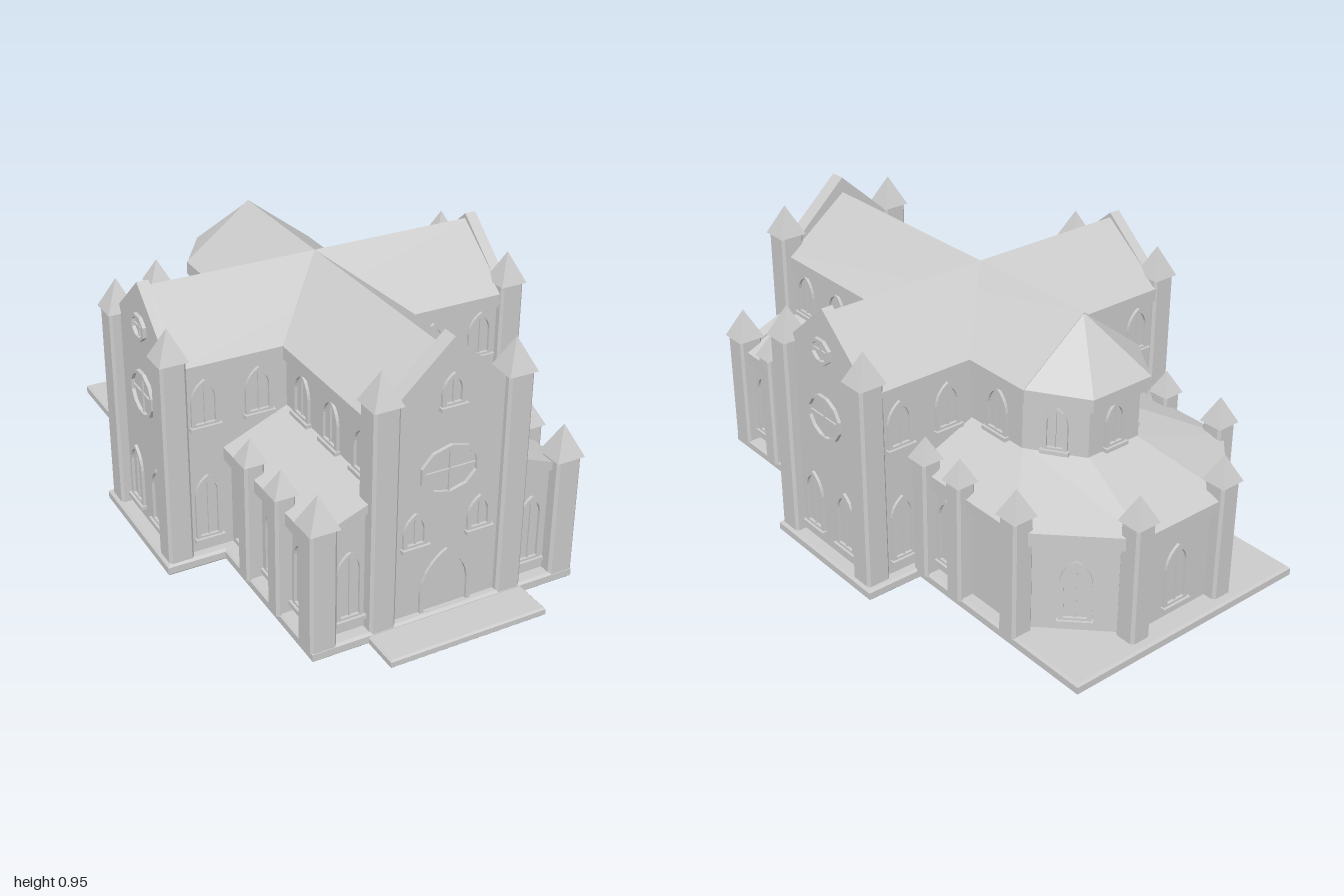
import * as THREE from 'three';

const stone = new THREE.MeshStandardMaterial({ color: 0xcccccc, flatShading: true, side: THREE.DoubleSide });
stone.name = 'stone grey';

export function createModel() {
  const model = new THREE.Group();
  model.name = 'church';

  const add = (name, geo, x = 0, y = 0, z = 0, ry = 0, parent = model) => {
    const m = new THREE.Mesh(geo, stone);
    m.name = name;
    m.position.set(x, y, z);
    m.rotation.y = ry;
    parent.add(m);
    return m;
  };
  const poly = (pts) => new THREE.Shape(pts.map(([x, y]) => new THREE.Vector2(x, y)));
  const extrude = (shape, depth, bevel = 0) => new THREE.ExtrudeGeometry(shape, {
    depth: depth - 2 * bevel, bevelEnabled: bevel > 0, bevelSize: bevel, bevelOffset: -bevel,
    bevelThickness: bevel, bevelSegments: 1, curveSegments: 5,
  }).translate(0, 0, bevel);
  // upright prism over a floor plan of [x, z] points
  const prism = (plan, y0, y1, bevel = 0) =>
    extrude(poly(plan.map(([x, z]) => [x, -z])), y1 - y0, bevel).rotateX(-Math.PI / 2).translate(0, y0, 0);
  const mirrored = (half) => [...half, ...half.map(([x, z]) => [-x, z]).reverse()];
  // sloping roof between an outer eave line and an inner line
  const slope = (outer, yo, inner, yi) => {
    const v = [];
    for (let k = 0; k + 1 < outer.length; k++) {
      const o0 = [outer[k][0], yo, outer[k][1]], o1 = [outer[k + 1][0], yo, outer[k + 1][1]];
      const i0 = [inner[k][0], yi, inner[k][1]], i1 = [inner[k + 1][0], yi, inner[k + 1][1]];
      if (inner[k] !== inner[k + 1]) v.push(...o0, ...i0, ...i1);
      v.push(...o0, ...i1, ...o1);
    }
    const g = new THREE.BufferGeometry();
    g.setAttribute('position', new THREE.Float32BufferAttribute(v, 3));
    g.computeVertexNormals();
    return g;
  };

  // stepped base
  add('base', prism(mirrored([[0.465, 0.87], [0.465, 0.27], [0.665, 0.27], [0.665, -0.25],
    [0.465, -0.25], [0.465, -1]]), 0, 0.04, 0.008));
  add('frontStep', prism(mirrored([[0.275, 1], [0.275, 0.8]]), 0, 0.03, 0.006));

  // nave and transept: walls, roofs and gable ends
  const roofShape = poly([[-0.24, 0.67], [0.24, 0.67], [0.24, 0.715], [0, 0.9], [-0.24, 0.715]]);
  const gable = (half, shoulder, peak) =>
    poly([[-half, 0.03], [half, 0.03], [half, shoulder], [0, peak], [-half, shoulder]]);
  const T = 0.01; // transept centre line in z
  add('naveWalls', prism(mirrored([[0.22, 0.82], [0.22, -0.46], [0.105, -0.635]]), 0.03, 0.68));
  add('naveRoof', extrude(roofShape, 1.3), 0, 0, -0.485);
  add('transeptWalls', new THREE.BoxGeometry(1.2, 0.65, 0.45), 0, 0.355, T);
  add('transeptRoof', extrude(roofShape, 1.2), -0.6, 0, T, Math.PI / 2);
  add('frontGable', extrude(gable(0.2, 0.77, 0.955), 0.055), 0, 0, 0.79);
  for (const s of [-1, 1]) {
    add('transeptGable', extrude(gable(0.2, 0.745, 0.917), 0.04), s * 0.578, 0, T, s * Math.PI / 2);
  }

  // apse roof
  const apseEave = [[-0.24, -0.48], [-0.12, -0.665], [0.12, -0.665], [0.24, -0.48]];
  const apex = [0, -0.48];
  add('apseEave', prism(apseEave, 0.67, 0.715));
  add('apseRoof', slope(apseEave, 0.715, [apex, apex, apex, apex], 0.9));

  // low aisles wrapping round the apse
  const eave = [[-0.445, 0.8], [-0.445, -0.69], [-0.18, -0.955], [0.18, -0.955], [0.445, -0.69], [0.445, 0.8]];
  const ridge = [[-0.21, 0.8], [-0.21, -0.455], [-0.1, -0.63], [0.1, -0.63], [0.21, -0.455], [0.21, 0.8]];
  add('aisleWalls', prism(mirrored([[0.42, 0.8], [0.42, -0.675], [0.17, -0.925]]), 0.03, 0.36));
  add('aisleEave', prism(eave, 0.355, 0.4));
  add('aisleRoof', slope(eave, 0.4, ridge, 0.5));
  for (const s of [-1, 1]) {
    add('aisleFrontWall', extrude(poly([[s * 0.2, 0.03], [s * 0.43, 0.03], [s * 0.43, 0.4], [s * 0.2, 0.49]]), 0.03), 0, 0, 0.795);
    add('aisleCoping', extrude(poly([[s * 0.2, 0.475], [s * 0.43, 0.385], [s * 0.43, 0.415], [s * 0.2, 0.505]]), 0.05), 0, 0, 0.79);
  }

  // corner turrets with chamfered shafts and pyramid caps
  const turret = (x, z, half, top, tip) => {
    const g = new THREE.Group();
    g.name = 'turret';
    g.position.set(x, 0, z);
    model.add(g);
    const c = half - 0.009;
    add('turretShaft', prism([[half, c], [c, half], [-c, half], [-half, c],
      [-half, -c], [-c, -half], [c, -half], [half, -c]], 0.03, top), 0, 0, 0, 0, g);
    const cap = new THREE.ConeGeometry((half + 0.006) * Math.SQRT2, tip - top, 4).rotateY(Math.PI / 4);
    add('turretCap', cap, 0, (top + tip) / 2, 0, 0, g);
  };
  for (const s of [-1, 1]) {
    turret(s * 0.225, 0.825, 0.044, 0.79, 0.895);
    turret(s * 0.425, 0.825, 0.044, 0.445, 0.55);
    for (const z of [0.22, -0.19]) turret(s * 0.612, z, 0.043, 0.745, 0.85);
    for (const z of [0.625, 0.42, -0.26, -0.43]) turret(s * 0.44, z, 0.034, 0.45, 0.528);
    turret(s * 0.43, -0.68, 0.038, 0.45, 0.54);
    turret(s * 0.177, -0.93, 0.038, 0.45, 0.54);
  }

  // pointed windows: raised frame, mullion and sill
  const arch = (w, h, y0 = 0) => {
    const spring = h - w * 0.75, s = new THREE.Shape();
    s.moveTo(-w / 2, y0);
    s.lineTo(w / 2, y0);
    s.lineTo(w / 2, spring);
    s.quadraticCurveTo(w * 0.45, h - w * 0.25, 0, h);
    s.quadraticCurveTo(-w * 0.45, h - w * 0.25, -w / 2, spring);
    return s;
  };
  const pointed = (name, w, h, x, y, z, ry = 0, door = false) => {
    const g = new THREE.Group();
    g.name = name;
    g.position.set(x, y, z);
    g.rotation.y = ry;
    model.add(g);
    const t = 0.014, frame = arch(w, h);
    frame.holes.push(arch(w - 2 * t, h - t, door ? 0.001 : t));
    add('frame', extrude(frame, 0.01), 0, 0, 0, 0, g);
    if (door) return;
    add('mullion', new THREE.BoxGeometry(0.005, h - t, 0.008), 0, h / 2, 0.002, 0, g);
    add('sill', new THREE.BoxGeometry(w + 0.012, 0.013, 0.03), 0, 0, 0.004, 0, g);
  };
  // round windows: faceted ring with a cross
  const rose = (rx, ry, sides, x, y, z, turn = 0) => {
    const ring = (k) => poly(Array.from({ length: sides }, (_, i) => {
      const a = ((i + 0.5) / sides) * Math.PI * 2;
      return [(rx - k) * Math.cos(a), (ry - k) * Math.sin(a)];
    }));
    const g = new THREE.Group(), outer = ring(0);
    g.name = 'roseWindow';
    g.position.set(x, y, z);
    g.rotation.y = turn;
    model.add(g);
    outer.holes.push(ring(0.012));
    add('ring', extrude(outer, 0.012), 0, 0, 0, 0, g);
    add('crossBar', new THREE.BoxGeometry(rx * 1.85, 0.006, 0.008), 0, 0, 0.002, 0, g);
    add('uprightBar', new THREE.BoxGeometry(0.006, ry * 1.85, 0.008), 0, 0, 0.002, 0, g);
  };

  // front openings
  pointed('frontDoor', 0.18, 0.21, 0, 0.04, 0.845, 0, true);
  pointed('gableWindow', 0.08, 0.11, 0, 0.735, 0.845);
  rose(0.105, 0.085, 10, 0, 0.525, 0.845);

  for (const s of [-1, 1]) {
    const side = s * Math.PI / 2;
    pointed('frontWindow', 0.085, 0.12, s * 0.112, 0.285, 0.845);
    pointed('aisleFrontWindow', 0.09, 0.24, s * 0.32, 0.085, 0.825);
    // transept sides
    for (const [z, turn] of [[T + 0.225, 0], [T - 0.225, Math.PI]]) {
      for (const x of [0.32, 0.505]) pointed('transeptUpperWindow', 0.095, 0.165, s * x, 0.495, z, turn);
      pointed('transeptLowerWindow', 0.09, 0.235, s * 0.505, 0.085, z, turn);
    }
    // transept ends
    rose(0.09, 0.08, 12, s * 0.618, 0.535, T + 0.01, side);
    rose(0.055, 0.045, 8, s * 0.618, 0.77, T + 0.01, side);
    for (const z of [0.105, -0.07]) pointed('transeptEndWindow', 0.1, 0.215, s * 0.618, 0.085, z, side);
    // clerestory and aisle bays
    for (const z of [0.72, 0.53, 0.345, -0.343]) {
      pointed('clerestoryWindow', 0.1, 0.165, s * 0.22, 0.5, z, side);
      pointed('aisleWindow', 0.095, 0.25, s * 0.42, 0.08, z, side);
    }
    // slanted apse walls
    pointed('apseUpperWindow', 0.08, 0.155, s * 0.1625, 0.505, -0.5475, s * Math.atan2(0.175, -0.115));
    pointed('apseLowerWindow', 0.1, 0.22, s * 0.295, 0.075, -0.8, s * Math.PI * 0.75);
  }
  pointed('apseUpperWindow', 0.08, 0.155, 0, 0.505, -0.635, Math.PI);
  pointed('apseLowerWindow', 0.1, 0.22, 0, 0.075, -0.925, Math.PI);

  return model;
}
